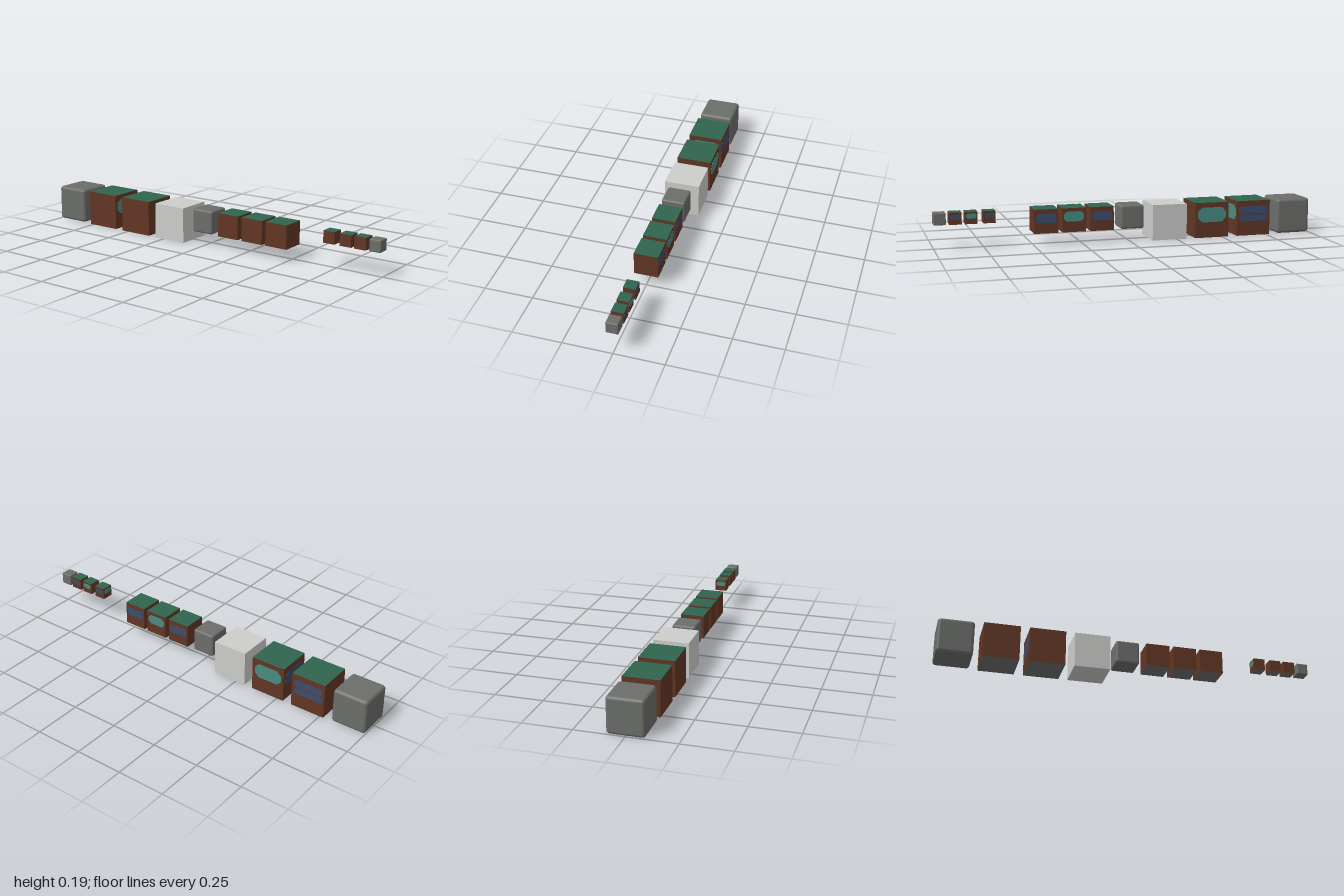
import * as THREE from 'three';
import { RoundedBoxGeometry } from 'three/addons/geometries/RoundedBoxGeometry.js';

const TOP = 0.186; // all blocks share the same top height

function makeMaterial(name, color) {
  const m = new THREE.MeshStandardMaterial({ color });
  m.name = name;
  return m;
}

// Plate outline with clipped corners, centred on the origin
function plateShape(w, h, c) {
  const x = w / 2, y = h / 2;
  return new THREE.Shape([
    [-x + c, -y], [x - c, -y], [x, -y + c], [x, y - c],
    [x - c, y], [-x + c, y], [-x, y - c], [-x, -y + c],
  ].map(([a, b]) => new THREE.Vector2(a, b)));
}

export function createModel() {
  const root = new THREE.Group();
  root.name = 'blockRow';

  const stone = makeMaterial('stone grey', 0x6c6e6b);
  const pale = makeMaterial('pale grey', 0xcdcdcc);
  const brown = makeMaterial('brown', 0x623624);
  const green = makeMaterial('green', 0x2f644e);
  const teal = makeMaterial('teal', 0x478c82);
  const blue = makeMaterial('slate blue', 0x3c4d6c);

  // Block resting against the shared top height
  function block(name, geometry, material, size, z) {
    const mesh = new THREE.Mesh(geometry, material);
    mesh.name = name;
    mesh.position.set(0, TOP - size / 2, z);
    root.add(mesh);
    return mesh;
  }

  // Thin plate on one face of a block; low and high are fractions of its height
  function plate(parent, size, face, kind, low, high) {
    const h = (high - low) * size;
    const isTeal = kind === 'window';
    const shape = plateShape(size * 0.84, h, h * (isTeal ? 0.3 : 0.2));
    const geometry = new THREE.ExtrudeGeometry(shape, { depth: 0.001, bevelEnabled: false });
    const mesh = new THREE.Mesh(geometry, isTeal ? teal : blue);
    mesh.name = isTeal ? 'windowPlate' : 'bandPlate';
    const angle = { side: Math.PI / 2, front: 0, back: Math.PI }[face];
    mesh.rotation.y = angle;
    mesh.position.set(
      Math.sin(angle) * size / 2,
      ((low + high) / 2 - 0.5) * size,
      Math.cos(angle) * size / 2,
    );
    parent.add(mesh);
  }

  // Rounded stone blocks
  for (const [size, z] of [[0.186, -0.907], [0.124, -0.017], [0.062, 0.969]]) {
    block('stoneBlock', new RoundedBoxGeometry(size, size, size, 4, size * 0.09), stone, size, z);
  }

  // Plain pale block
  block('paleBlock', new THREE.BoxGeometry(0.186, 0.186, 0.186), pale, 0.186, -0.21);

  // Brown blocks with green tops, stone undersides and painted plates
  const window = ['window', 0.44, 0.86];
  const band = ['band', 0.43, 0.81];
  const painted = [
    [0.186, -0.677, [['side', 'band', 0.63, 0.84], ['side', 'band', 0.41, 0.6], ['front', ...window]]],
    [0.186, -0.443, [['side', ...window], ['back', ...band]]],
    [0.124, 0.146, [['side', ...band]]],
    [0.124, 0.293, [['side', ...window]]],
    [0.124, 0.438, [['side', ...band]]],
    [0.062, 0.721, [['side', ...band], ['back', ...window]]],
    [0.062, 0.812, [['side', ...window]]],
    [0.062, 0.891, [['side', ...band]]],
  ];
  for (const [size, z, plates] of painted) {
    const faces = [brown, brown, green, stone, brown, brown];
    const body = block('paintedBlock', new THREE.BoxGeometry(size, size, size), faces, size, z);
    for (const [face, kind, low, high] of plates) plate(body, size, face, kind, low, high);
  }

  return root;
}
